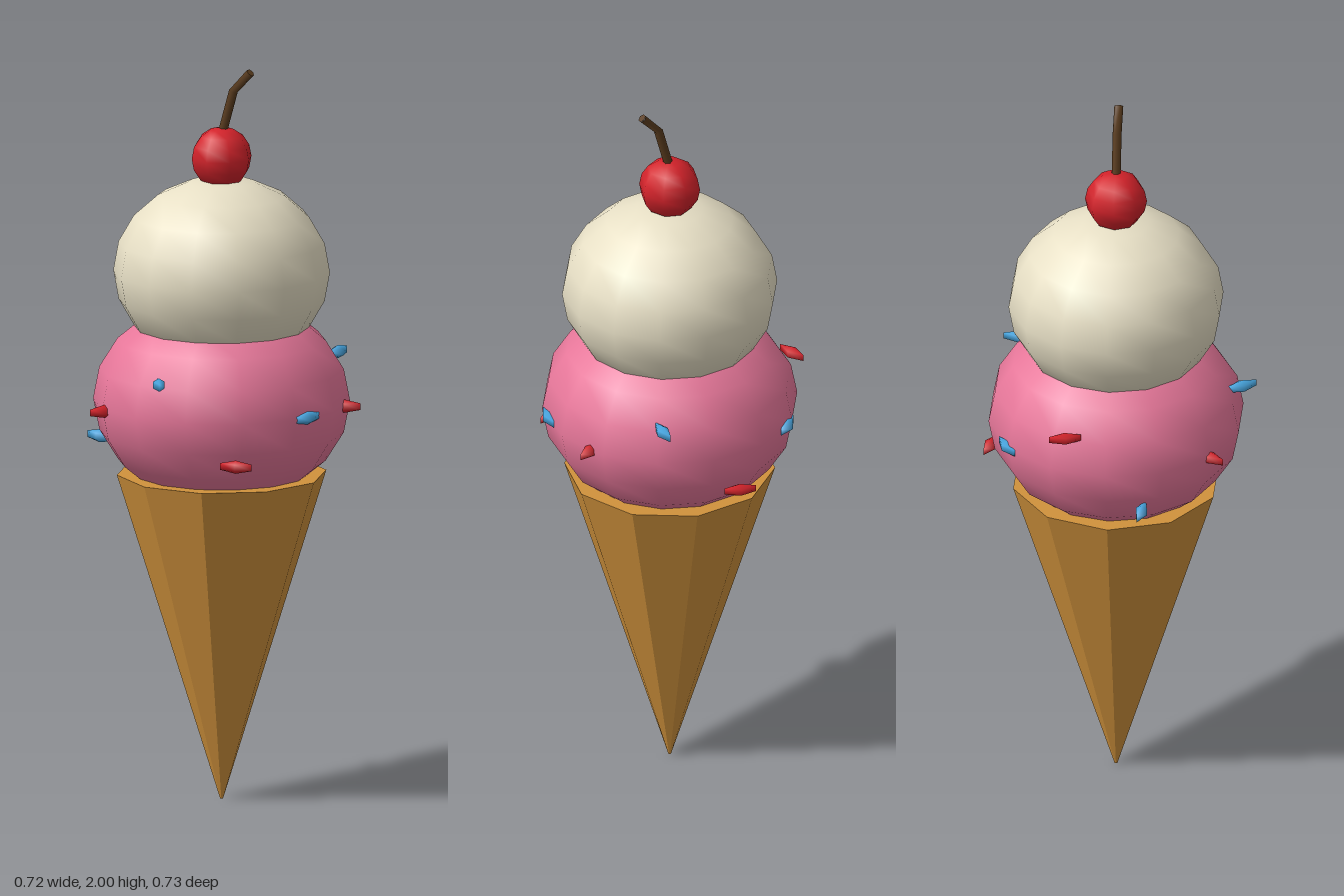
import * as THREE from 'three';

function material(name, color, flatShading = false) {
  const m = new THREE.MeshStandardMaterial({ color, flatShading });
  m.name = name;
  return m;
}

export function createModel() {
  const model = new THREE.Group();
  model.name = 'iceCreamCone';

  const wafer = material('wafer', 0xd0923c, true);
  const pink = material('strawberry pink', 0xf07ca0);
  const cream = material('vanilla cream', 0xf0e8cd);
  const red = material('cherry red', 0xd3222a);
  const blue = material('sprinkle blue', 0x48a6e0);
  const brown = material('stem brown', 0x5a3c1e);

  const treat = new THREE.Group();
  treat.name = 'treat';
  treat.position.z = -0.007;
  model.add(treat);

  const add = (name, geometry, mat, parent = treat) => {
    const mesh = new THREE.Mesh(geometry, mat);
    mesh.name = name;
    parent.add(mesh);
    return mesh;
  };

  // Faceted wafer cone with a flat rim
  const cone = new THREE.CylinderGeometry(0.282, 0.004, 0.89, 10, 1, false, Math.PI / 2);
  add('waferCone', cone, wafer).position.y = 0.445;

  // Slightly squashed scoops and the cherry
  const ball = (name, mat, y, r, ry, around, up) => {
    const mesh = add(name, new THREE.SphereGeometry(1, around, up), mat);
    mesh.position.y = y;
    mesh.scale.set(r, ry, r);
  };
  ball('lowerScoop', pink, 1.09, 0.344, 0.28, 14, 10);
  ball('upperScoop', cream, 1.44, 0.29, 0.255, 14, 10);
  ball('cherry', red, 1.75, 0.083, 0.083, 8, 8);

  // Bent cherry stem
  const stemPath = new THREE.CurvePath();
  const bends = [[0, 1.81], [0.036, 1.935], [0.088, 1.99]].map(([x, y]) => new THREE.Vector3(x, y, 0));
  for (let i = 0; i < 2; i++) stemPath.add(new THREE.LineCurve3(bends[i], bends[i + 1]));
  // Remap the path so that the middle ring falls on the bend
  stemPath.getPointAt = (t) => bends[0].clone().lerp(bends[1], Math.min(1, t * 2))
    .add(bends[2].clone().sub(bends[1]).multiplyScalar(Math.max(0, t * 2 - 1)));
  add('cherryStem', new THREE.TubeGeometry(stemPath, 2, 0.012, 6), brown);
  const tip = add('stemTip', new THREE.CircleGeometry(0.012, 6), brown);
  tip.position.copy(bends[2]);
  tip.lookAt(bends[2].clone().multiplyScalar(2).sub(bends[1]));

  // Sprinkles: x, y, z, then direction along x and z, then material
  const sprinkles = new THREE.Group();
  sprinkles.name = 'sprinkles';
  model.add(sprinkles);
  const grain = new THREE.SphereGeometry(0.018, 4, 3).scale(2.8, 1, 1);
  [
    [-0.005, 0.975, -0.343, 29, 11, red],
    [0.203, 1.19, -0.283, 3, -37, blue],
    [0.32, 1.085, -0.107, 24, -9, red],
    [0.32, 1.09, 0.095, -9, 38, blue],
    [0.197, 0.975, 0.27, 28, -8, red],
    [-0.004, 1.19, 0.331, 21, 34, blue],
    [-0.208, 1.085, 0.263, -20, 32, red],
    [-0.32, 0.975, 0.088, 23, 5, blue],
    [-0.318, 1.19, -0.117, 11, 46, red],
    [-0.195, 1.085, -0.283, 38, -26, blue],
  ].forEach(([x, y, z, dx, dz, mat], i) => {
    const mesh = add(`sprinkle${i + 1}`, grain, mat, sprinkles);
    mesh.position.set(x, y, z);
    mesh.rotation.y = Math.atan2(-dz, dx);
  });

  return model;
}
